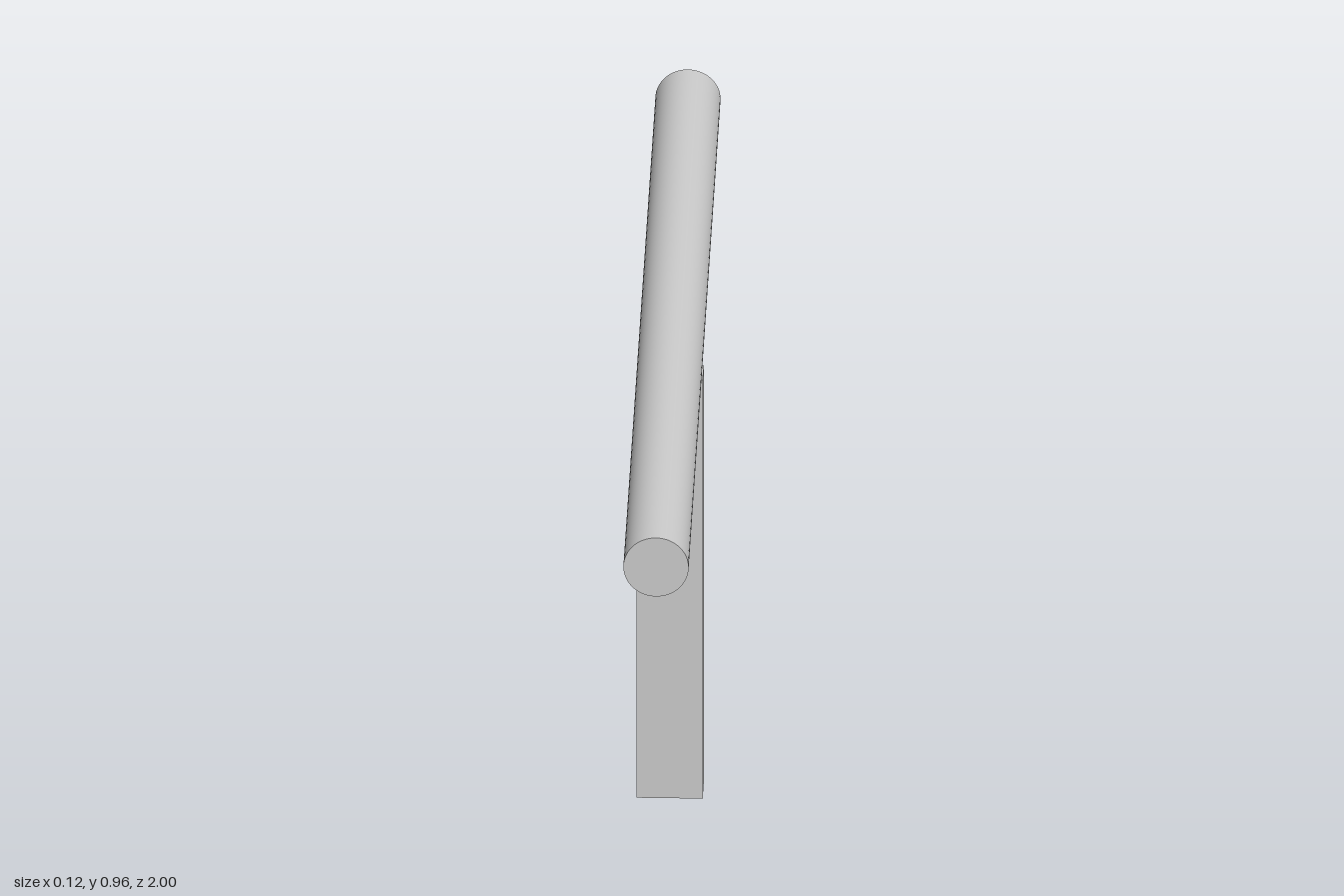
import * as THREE from 'three';

export function createModel() {
  const model = new THREE.Group();
  const material = new THREE.MeshStandardMaterial({ color: 0xcccccc });

  // Long round bar running front to back
  const barGeometry = new THREE.CylinderGeometry(0.0615, 0.0615, 2, 64);
  barGeometry.rotateX(Math.PI / 2);
  const bar = new THREE.Mesh(barGeometry, material);
  bar.name = 'bar';
  bar.position.y = 0.903;
  model.add(bar);

  // Rectangular post: side outline with a slightly sloping top, extruded across x
  const backZ = 0.065, frontZ = 0.15, width = 0.125;
  const outline = new THREE.Shape([
    new THREE.Vector2(-frontZ, 0),
    new THREE.Vector2(-backZ, 0),
    new THREE.Vector2(-backZ, 0.868),
    new THREE.Vector2(-frontZ, 0.879),
  ]);
  const postGeometry = new THREE.ExtrudeGeometry(outline, { depth: width, bevelEnabled: false });
  postGeometry.translate(0, 0, -width / 2);
  postGeometry.rotateY(Math.PI / 2);
  const post = new THREE.Mesh(postGeometry, material);
  post.name = 'post';
  model.add(post);

  return model;
}
